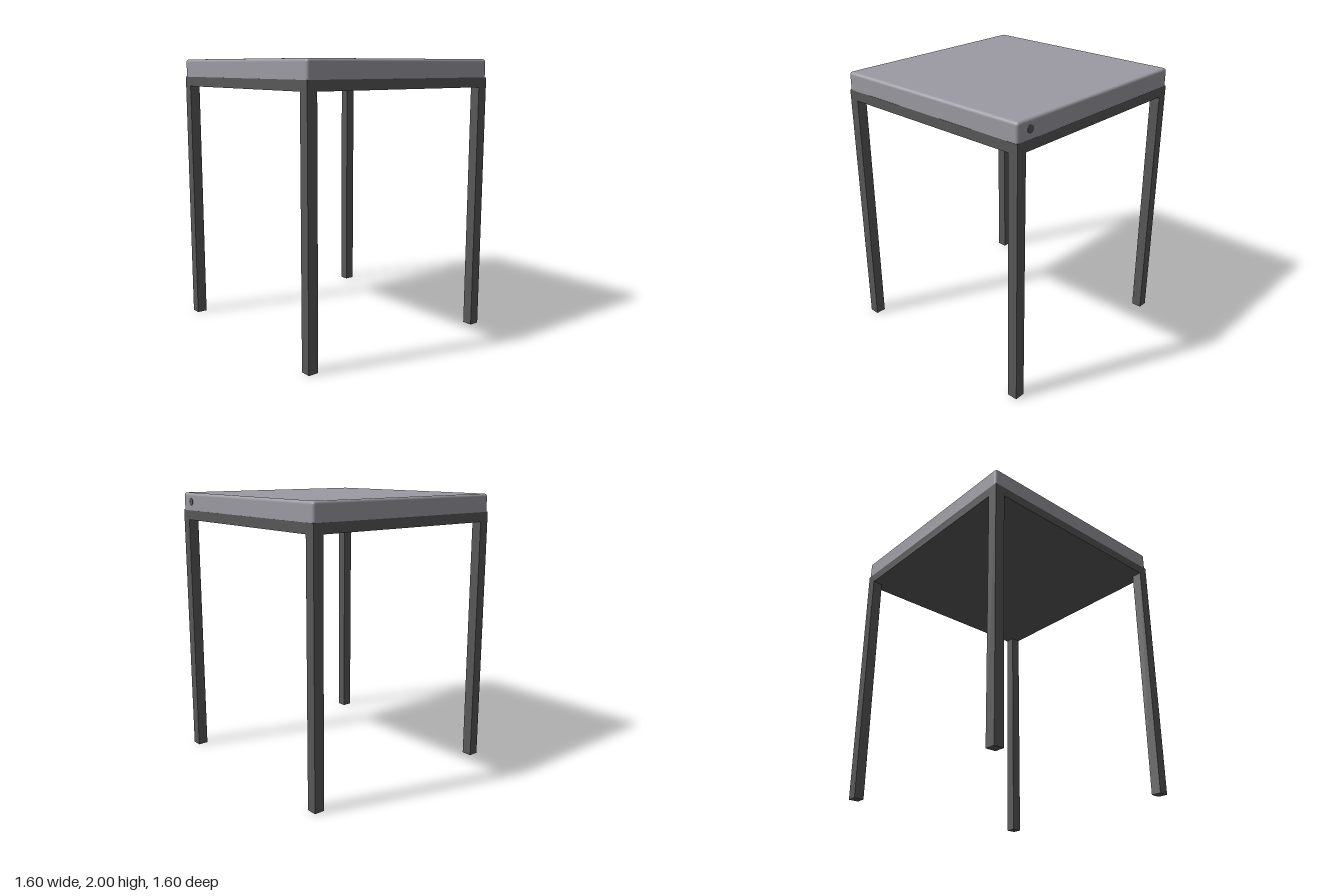
import * as THREE from 'three';
import { RoundedBoxGeometry } from 'three/addons/geometries/RoundedBoxGeometry.js';

const HALF = 0.8;        // half width of the stool
const BAR = 0.075;       // thickness of the square tubes
const FRAME_TOP = 1.87;
const FRAME_BOTTOM = 1.8;

export function createModel() {
  const stool = new THREE.Group();
  stool.name = 'stool';

  const cushionGrey = new THREE.MeshStandardMaterial({ color: 0x9c9ba3 });
  cushionGrey.name = 'cushion grey';
  const frameGrey = new THREE.MeshStandardMaterial({ color: 0x585858 });
  frameGrey.name = 'frame grey';

  const add = (name, geometry, material, x, y, z) => {
    const mesh = new THREE.Mesh(geometry, material);
    mesh.name = name;
    mesh.position.set(x, y, z);
    stool.add(mesh);
    return mesh;
  };

  const railHeight = FRAME_TOP - FRAME_BOTTOM;
  const railY = (FRAME_TOP + FRAME_BOTTOM) / 2;
  const inner = 2 * (HALF - BAR);
  const offset = HALF - BAR / 2;

  // Four square legs running up to the corners of the frame
  for (const [x, xName] of [[1, 'Left'], [-1, 'Right']]) {
    for (const [z, zName] of [[1, 'front'], [-1, 'back']]) {
      add(`${zName}${xName}Leg`, new THREE.BoxGeometry(BAR, FRAME_TOP, BAR), frameGrey,
        x * offset, FRAME_TOP / 2, z * offset);
    }
  }

  // Rails between the legs
  for (const s of [1, -1]) {
    add(s > 0 ? 'frontRail' : 'backRail', new THREE.BoxGeometry(inner, railHeight, BAR),
      frameGrey, 0, railY, s * offset);
    add(s > 0 ? 'leftRail' : 'rightRail', new THREE.BoxGeometry(BAR, railHeight, inner),
      frameGrey, s * offset, railY, 0);
  }

  // Closed underside, flush with the rails
  add('seatPanel', new THREE.BoxGeometry(inner, railHeight, inner), frameGrey, 0, railY, 0);

  // Cushion with softened edges, its lower edge sunk into the frame
  const cushionBottom = 1.835;
  const cushionHeight = 2 - cushionBottom;
  const cushionHalf = HALF - 0.001;
  add('cushion', new RoundedBoxGeometry(2 * cushionHalf, cushionHeight, 2 * cushionHalf, 5, 0.022),
    cushionGrey, 0, cushionBottom + cushionHeight / 2, 0);

  // Small round eyelet on the back of the cushion
  const eyelet = add('eyelet', new THREE.CylinderGeometry(0.027, 0.027, 0.006, 32), frameGrey,
    0.685, 1.935, -cushionHalf);
  eyelet.rotation.x = Math.PI / 2;

  return stool;
}
